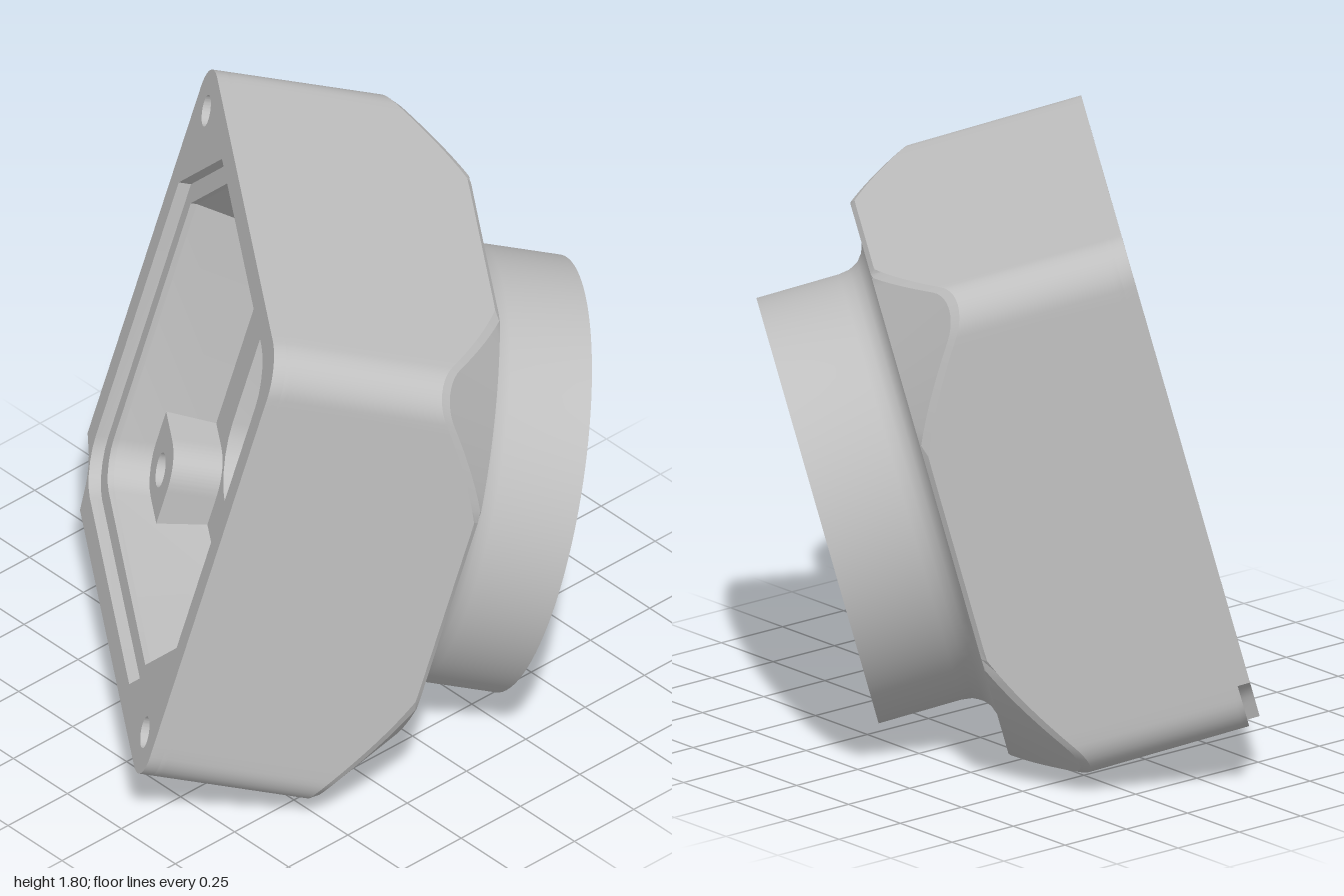
import * as THREE from 'three';
import { toCreasedNormals } from 'three/addons/utils/BufferGeometryUtils.js';

const HALF = 0.83;    // half width of the square body
const FRONT = 0.785;  // depth of the flat front of the body
const FLAT = 0.9;     // radius where the corner cone starts
const NECK = 0.765;   // radius where the front meets the nose fillet
const LEDGE = 0.33;   // depth of the inner ledge
const FLOOR = 0.69;   // depth of the cavity floor
const frontZ = (r) => FRONT - Math.max(0, r - FLAT);

// Skin a stack of closed rings of [x, y, z]
function loft(rings) {
  const n = rings[0].length, index = [];
  for (let k = 0; k < rings.length - 1; k++) {
    for (let i = 0; i < n; i++) {
      const a = k * n + i, b = k * n + (i + 1) % n;
      index.push(a, b, b + n, a, b + n, a + n);
    }
  }
  const geo = new THREE.BufferGeometry();
  geo.setAttribute('position', new THREE.Float32BufferAttribute(rings.flat(2), 3));
  geo.setIndex(index);
  return geo;
}

// Counter-clockwise rounded square
function roundedSquare(h, r) {
  const pts = [], c = h - r;
  for (let s = 0; s < 4; s++) {
    const turn = s * Math.PI / 2, cs = Math.cos(turn), sn = Math.sin(turn);
    const add = (x, y) => pts.push([x * cs - y * sn, x * sn + y * cs]);
    for (let i = 0; i < 32; i++) add(h, -c + 2 * c * i / 32);
    for (let i = 0; i < 10; i++) {
      const a = i / 10 * Math.PI / 2;
      add(c + r * Math.cos(a), c + r * Math.sin(a));
    }
  }
  return pts;
}

// Square with cut a on the screw corners and rounding b on the boss corners
function cavityOutline(h, a, b) {
  const half = [[h, h - a], [h - a, h]];
  for (let i = 0; i <= 5; i++) {
    const t = Math.PI / 2 * (1 + i / 5);
    half.push([-h + b + b * Math.cos(t), h - b + b * Math.sin(t)]);
  }
  return [...half, ...half.map(([x, y]) => [-x, -y])];
}

const toShape = (pts) => new THREE.Shape(pts.map((p) => new THREE.Vector2(p[0], p[1])));
const toPath = (pts) => new THREE.Path(pts.map((p) => new THREE.Vector2(p[0], p[1])));
const circle = (x, y, r) => new THREE.Path().absarc(x, y, r, 0, Math.PI * 2, true);
const level = (pts, z) => pts.map(([x, y]) => [x, y, z]);

export function createModel() {
  const model = new THREE.Group();
  const housing = new THREE.Group();
  housing.name = 'housing';
  model.add(housing);

  const grey = new THREE.MeshStandardMaterial({ color: 0xc0c0c0 });
  grey.name = 'grey';

  function add(name, geo, crease = 0.5) {
    const mesh = new THREE.Mesh(toCreasedNormals(geo, crease), grey);
    mesh.name = name;
    housing.add(mesh);
  }
  function slab(name, shape, z, depth) {
    const geo = new THREE.ExtrudeGeometry(shape, { depth, bevelEnabled: false, curveSegments: 32 });
    add(name, geo.translate(0, 0, z));
  }
  // Lining and bottom of a blind hole that opens to the rear
  function bore(name, x, y, r, z, depth) {
    const ring = (radius, h) => Array.from({ length: 24 }, (_, i) => {
      const a = i / 24 * Math.PI * 2;
      return [x + radius * Math.cos(a), y + radius * Math.sin(a), h];
    });
    add(name, loft([ring(0.001, z + depth), ring(r, z + depth), ring(r, z)]));
  }

  // Outer body: square sides, soft edge, cone on the corners, flat front
  const outline = roundedSquare(HALF, 0.13);
  const bodyRing = (radius, z) => outline.map(([x, y]) => {
    const r0 = Math.hypot(x, y), r = radius(r0);
    return [x * r / r0, y * r / r0, z(r)];
  });
  add('body', loft([
    bodyRing((r) => r, () => 0.06),
    bodyRing((r) => r, (r) => frontZ(r) - 0.015),
    bodyRing((r) => r - 0.015, frontZ),
    bodyRing((r) => Math.min(r - 0.02, FLAT), frontZ),
    bodyRing(() => NECK, frontZ),
  ]), 0.3);

  // Nose with fillet, front face and through bore
  const nose = [[NECK, FRONT], [0.735, 0.795], [0.71, 0.815], [0.695, 0.845], [0.69, 0.88], [0.69, 1.148],
    [0.38, 1.148], [0.38, 0.72], [0.4, 0.71], [0.4, FLOOR]];
  add('nose', new THREE.LatheGeometry(nose.map((p) => new THREE.Vector2(...p)), 96).rotateX(Math.PI / 2));

  // Rear rim with a notch bitten out of one corner
  const BITE = 0.13;
  const rimOutline = outline.filter(([x, y]) => Math.hypot(x - 0.8, y + 0.8) > BITE);
  const gap = rimOutline.findIndex((p, i) => {
    const q = rimOutline[(i + 1) % rimOutline.length];
    return Math.hypot(p[0] - q[0], p[1] - q[1]) > 0.12;
  });
  const bite = [];
  for (let i = 0; i <= 6; i++) {
    const a = Math.PI - 0.2 - i / 6 * (Math.PI / 2 - 0.4);
    bite.push([0.8 + BITE * Math.cos(a), -0.8 + BITE * Math.sin(a)]);
  }
  rimOutline.splice(gap + 1, 0, ...bite);
  const opening = cavityOutline(0.68, 0.32, 0.12);
  const rim = toShape(rimOutline);
  rim.holes.push(toPath(cavityOutline(0.74, 0.35, 0.14)));
  const seat = toShape(outline);
  seat.holes.push(toPath(opening));
  for (const s of [-1, 1]) {
    rim.holes.push(circle(0.7 * s, 0.7 * s, 0.05));
    seat.holes.push(circle(0.7 * s, 0.7 * s, 0.05));
    bore('screwHole', 0.7 * s, 0.7 * s, 0.05, 0.04, 0.3);
  }
  slab('rearRim', rim, 0, 0.04);
  slab('sealSeat', seat, 0.04, 0.02);

  // Cavity: tapered wall, ledge, inner recess and floor
  const ledgeEdge = cavityOutline(0.64, 0.32, 0.12);
  const recess = cavityOutline(0.48, 0.18, 0.18);
  add('cavityWall', loft([
    level(cavityOutline(0.46, 0.18, 0.18), FLOOR),
    level(recess, LEDGE),
    level(ledgeEdge, LEDGE),
    level(opening, 0.06),
  ]));
  const floor = toShape(cavityOutline(0.46, 0.18, 0.18));
  floor.holes.push(circle(0, 0, 0.4));
  slab('cavityFloor', floor, FLOOR, 0.02);

  // Corner bosses, half a turn apart
  for (const s of [-1, 1]) {
    const boss = new THREE.Shape();
    boss.moveTo(0.69 * s, -0.69 * s);
    boss.lineTo(0.69 * s, -0.42 * s);
    boss.lineTo(0.52 * s, -0.42 * s);
    boss.quadraticCurveTo(0.4 * s, -0.42 * s, 0.4 * s, -0.54 * s);
    boss.lineTo(0.4 * s, -0.69 * s);
    boss.holes.push(circle(0.53 * s, -0.55 * s, 0.055));
    slab('cornerBoss', boss, 0.17, 0.2);
    bore('bossHole', 0.53 * s, -0.55 * s, 0.055, 0.17, 0.19);
  }

  // Locating pin on the ledge and a hollow post in the recess corner
  add('pin', new THREE.CylinderGeometry(0.035, 0.035, 0.1, 20).rotateX(Math.PI / 2).translate(-0.53, 0.23, 0.29));
  const post = new THREE.Shape().absarc(-0.4, -0.43, 0.1, 0, Math.PI * 2, false);
  post.holes.push(circle(-0.4, -0.43, 0.06));
  slab('post', post, 0.31, FLOOR - 0.31);
  bore('postHole', -0.4, -0.43, 0.06, 0.31, 0.2);

  // Tilt the housing into its pose
  housing.rotation.set(0.266, 0.957, 0, 'YXZ');
  housing.position.set(-0.351, 0.998, -0.212);
  return model;
}
